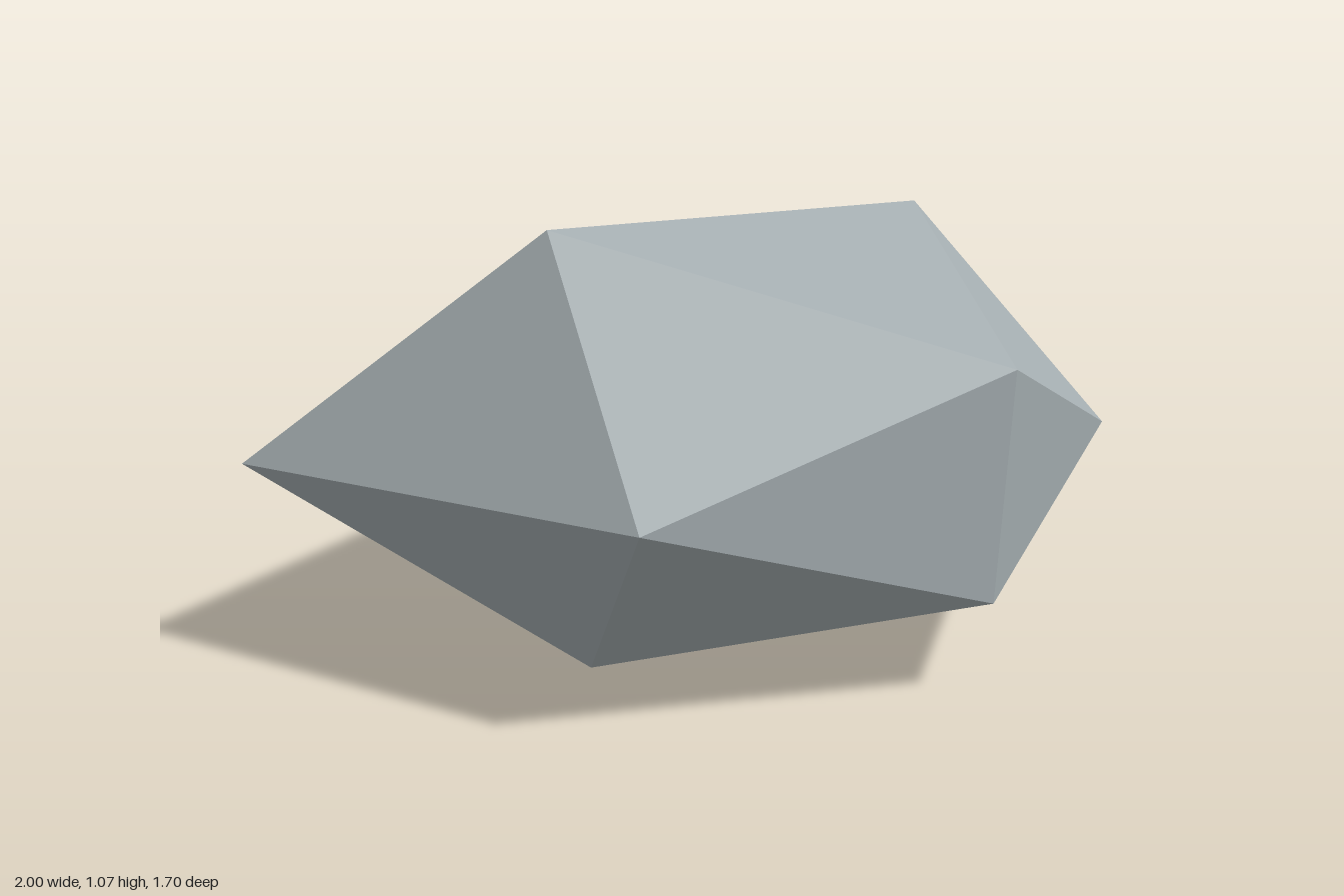
import * as THREE from 'three';

// Corners of the uneven stone, one group of four per icosahedron plane,
// keyed by the signs (x y z) of the regular corner each one replaces.
const corners = {
  // top and bottom ridges
  '-+0': [-0.585, 1.067, 0.02], '++0': [0.71, 1.06, 0.02],
  '--0': [-0.475, 0.01, 0.02], '+-0': [0.615, 0, 0.02],
  // front and back edges
  '0++': [0.062, 0.772, 0.85], '0-+': [0.062, 0.225, 0.805],
  '0+-': [0.062, 0.785, -0.85], '0--': [0.062, 0.205, -0.825],
  // side edges
  '+0+': [0.895, 0.49, 0.53], '+0-': [1, 0.49, -0.56],
  '-0+': [-0.78, 0.49, 0.535], '-0-': [-1, 0.49, -0.64],
};

const sign = (v) => (Math.abs(v) < 0.01 ? '0' : v > 0 ? '+' : '-');

export function createModel() {
  const stoneGrey = new THREE.MeshStandardMaterial({ color: 0xa4adb0, flatShading: true });
  stoneGrey.name = 'stone grey';

  // Faceted boulder: an icosahedron with its corners pushed about
  const geometry = new THREE.IcosahedronGeometry(1, 0);
  const p = geometry.attributes.position;
  for (let i = 0; i < p.count; i++) {
    const key = sign(p.getX(i)) + sign(p.getY(i)) + sign(p.getZ(i));
    p.setXYZ(i, ...corners[key]);
  }
  geometry.computeVertexNormals();

  const boulder = new THREE.Mesh(geometry, stoneGrey);
  boulder.name = 'boulder';
  const group = new THREE.Group();
  group.name = 'rock';
  group.add(boulder);
  return group;
}
